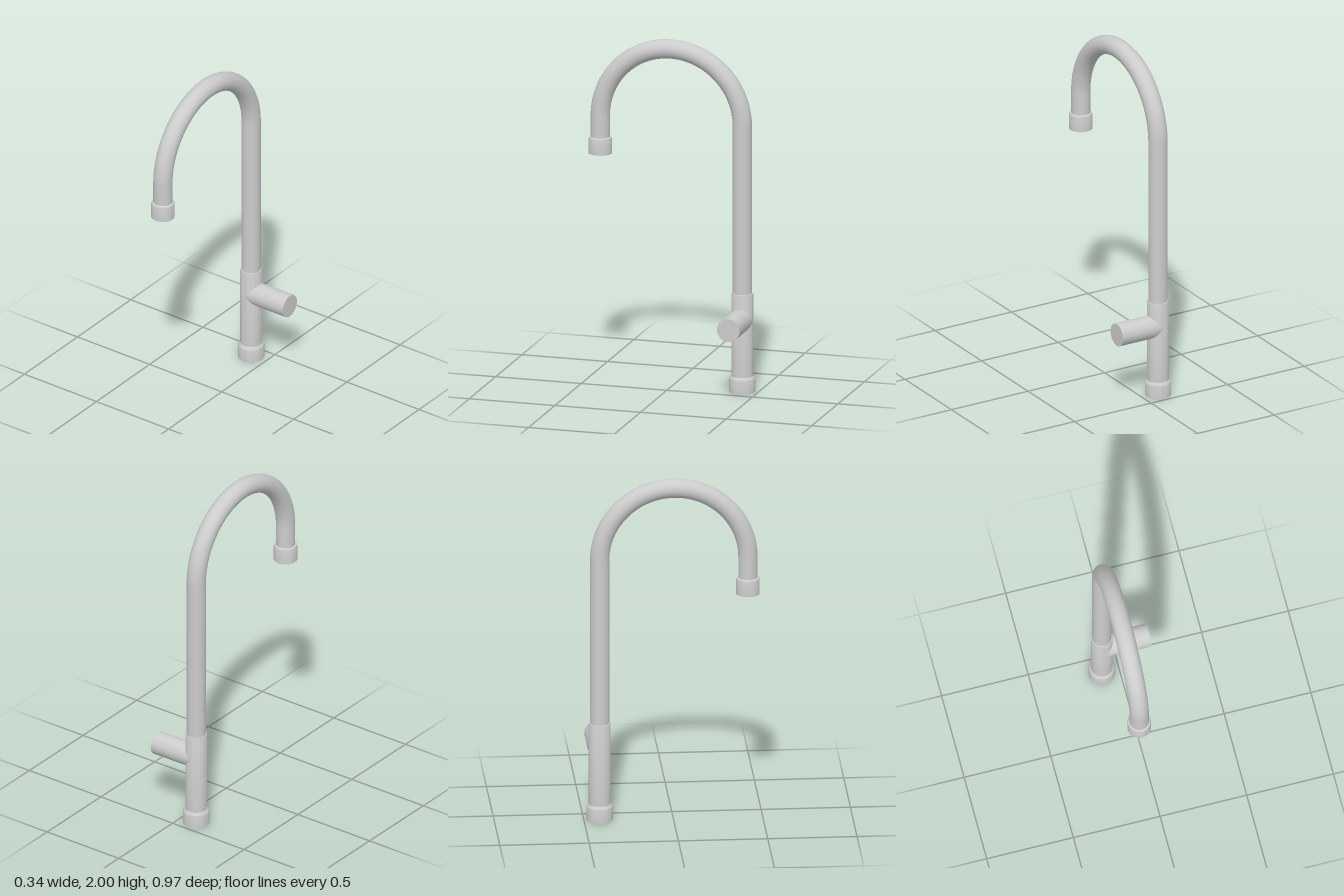
import * as THREE from 'three';
import { toCreasedNormals } from 'three/addons/utils/BufferGeometryUtils.js';

const X = -0.099, BACK = -0.411, FRONT = 0.419;
const PIPE_R = 0.054, BODY_R = 0.061, HANDLE_R = 0.066;
const ARC_R = (FRONT - BACK) / 2, ARC_Y = 2 - PIPE_R - ARC_R;
const SIDES = 48;

export function createModel() {
  const faucet = new THREE.Group();
  faucet.name = 'faucet';
  const material = new THREE.MeshStandardMaterial({ color: 0xcccccc });

  function add(name, geometry, x, y, z) {
    const mesh = new THREE.Mesh(geometry, material);
    mesh.name = name;
    mesh.position.set(x, y, z);
    faucet.add(mesh);
    return mesh;
  }

  // Turned part from [radius, height] pairs, bottom to top
  function turned(name, profile, z) {
    const points = profile.map(([r, y]) => new THREE.Vector2(r, y));
    add(name, toCreasedNormals(new THREE.LatheGeometry(points, SIDES), 0.6), X, 0, z);
  }

  function pipe(name, bottom, top, z) {
    const geometry = new THREE.CylinderGeometry(PIPE_R, PIPE_R, top - bottom, SIDES, 1, true);
    add(name, geometry, X, (bottom + top) / 2, z);
  }

  // Base collar, valve body and spout tip
  turned('baseCollar', [[0, 0], [0.0735, 0], [0.0735, 0.074], [0.071, 0.082], [0.064, 0.09], [0.06, 0.095]], BACK);
  turned('valveBody', [[BODY_R, 0.08], [BODY_R, 0.564], [0.059, 0.57], [0.05, 0.571]], BACK);
  turned('spoutTip', [[0, 1.314], [0.066, 1.314], [0.066, 1.396], [0.063, 1.406], [0.053, 1.411]], FRONT);

  // Gooseneck: riser, half-circle bend and short drop
  pipe('riser', 0.55, ARC_Y, BACK);
  pipe('spoutDrop', 1.39, ARC_Y, FRONT);
  const bend = new THREE.TorusGeometry(ARC_R, PIPE_R, SIDES, 80, Math.PI);
  bend.rotateY(Math.PI / 2);
  add('gooseneckBend', bend, X, ARC_Y, (FRONT + BACK) / 2);

  // Side handle: its inner end is notched to wrap onto the valve body
  const length = 0.17 - X;
  const handle = new THREE.CylinderGeometry(HANDLE_R, HANDLE_R, length, SIDES, 2, true);
  handle.rotateZ(-Math.PI / 2);
  handle.translate(length / 2, 0, 0);
  const p = handle.attributes.position;
  for (let i = 0; i < p.count; i++) {
    const x = p.getX(i), notch = Math.abs(p.getY(i)) / HANDLE_R * BODY_R;
    if (x < 0.01) {
      p.setX(i, notch);
      p.setZ(i, p.getZ(i) / HANDLE_R * BODY_R);
    } else if (x < length - 0.01) {
      p.setX(i, notch + 0.02);
    }
  }
  add('handle', handle, X, 0.42, BACK);
  const cap = add('handleCap', new THREE.CircleGeometry(HANDLE_R, SIDES), 0.17, 0.42, BACK);
  cap.rotation.y = Math.PI / 2;

  return faucet;
}
